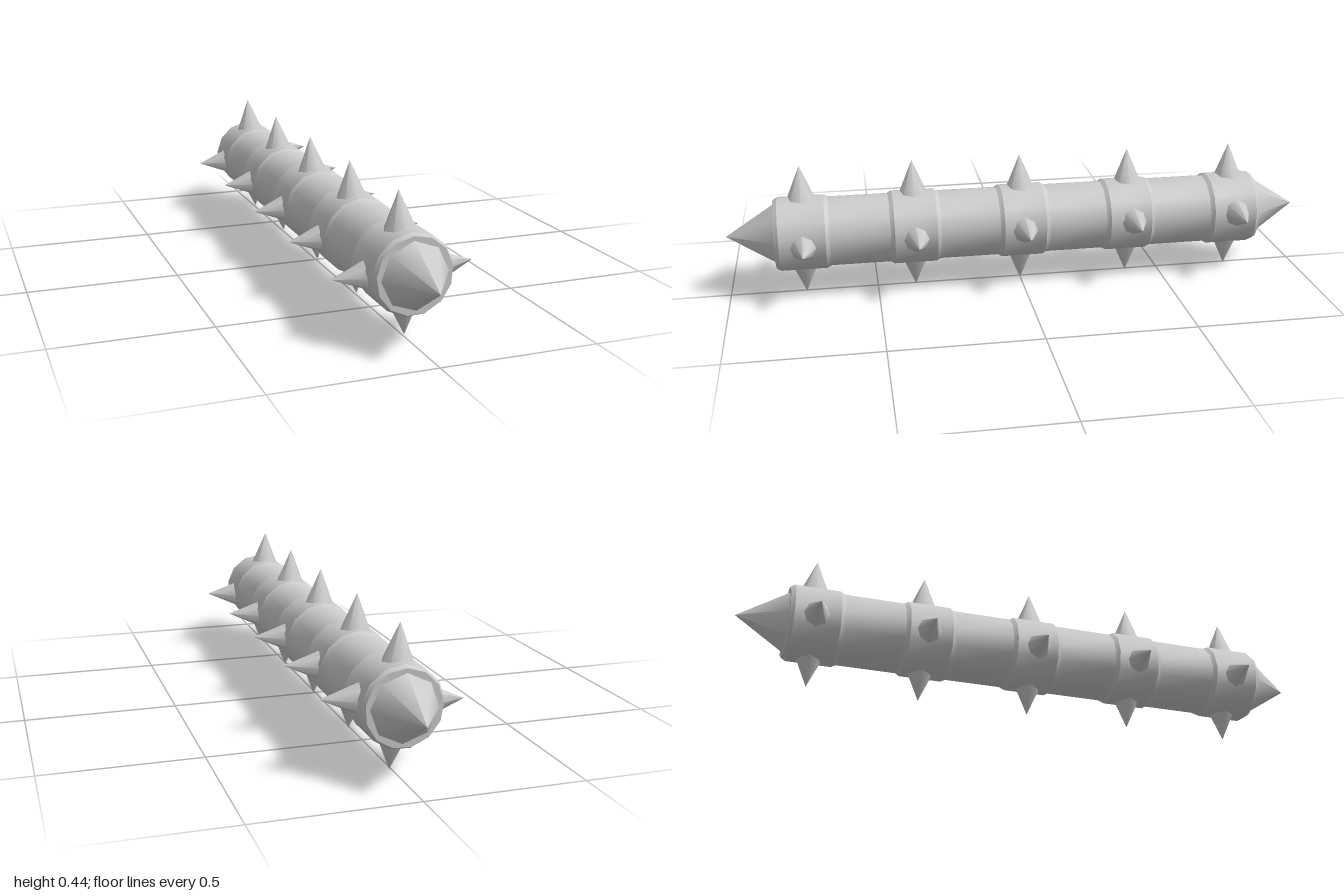
import * as THREE from 'three';
import { toCreasedNormals } from 'three/addons/utils/BufferGeometryUtils.js';

const material = new THREE.MeshStandardMaterial({ color: 0xcccccc });
const CX = -0.005, CY = 0.213; // axis of the shaft
const deg = Math.PI / 180;

function add(group, name, geometry) {
  const mesh = new THREE.Mesh(geometry, material);
  mesh.name = name;
  group.add(mesh);
  return mesh;
}

// Cone whose base centre and tip are given
function spike(group, name, base, tip, radius, sides) {
  const dir = tip.clone().sub(base);
  const height = dir.length();
  const geometry = new THREE.ConeGeometry(radius, height, sides);
  geometry.translate(0, height / 2, 0);
  const mesh = add(group, name, geometry);
  mesh.position.copy(base);
  mesh.quaternion.setFromUnitVectors(new THREE.Vector3(0, 1, 0), dir.normalize());
}

export function createModel() {
  const model = new THREE.Group();
  model.name = 'spikedRod';

  // Shaft with five raised, chamfered collars, turned about z
  const bodyR = 0.119, bandR = 0.127, bevel = 0.014;
  const bands = [[-0.838, -0.66], [-0.46, -0.288], [-0.09, 0.082], [0.282, 0.454], [0.655, 0.838]];
  const profile = [[0, -0.838]];
  for (const [a, b] of bands) {
    profile.push([bodyR, a], [bandR, a + bevel], [bandR, b - bevel], [bodyR, b]);
  }
  profile.push([0, 0.838]);
  const shaft = new THREE.LatheGeometry(profile.map(([r, z]) => new THREE.Vector2(r, z)), 13, 183 * deg);
  shaft.rotateX(Math.PI / 2);
  add(model, 'shaft', toCreasedNormals(shaft, 29 * deg)).position.set(CX, CY, 0);

  // Pointed ends
  for (const side of [1, -1]) {
    const tip = new THREE.ConeGeometry(0.106, 0.164, 8);
    tip.rotateX(side * Math.PI / 2);
    tip.rotateZ(3 * deg);
    add(model, side > 0 ? 'frontPoint' : 'backPoint', tip).position.set(CX, CY, side * 0.918);
  }

  // Four spikes round each collar; the left ones fan slightly along the rod
  [-0.753, -0.383, -0.002, 0.368, 0.744].forEach((z, i) => {
    const ring = new THREE.Group();
    ring.name = 'spikeRing' + (i + 1);
    const leftY = 0.235 - i * 0.0065;
    const spikes = [
      ['topSpike', -0.012, 0.3, -0.02, 0.445, 0.061],
      ['bottomSpike', 0, 0.115, 0.007, 0, 0.051],
      ['rightSpike', -0.1, 0.202, -0.224, 0.197, 0.053],
      ['leftSpike', 0.085, leftY - 0.008, 0.222, leftY, 0.056],
    ];
    for (const [name, bx, by, tx, ty, r] of spikes) {
      spike(ring, name, new THREE.Vector3(bx, by, z), new THREE.Vector3(tx, ty, z), r, 8);
    }
    model.add(ring);
  });

  return model;
}
